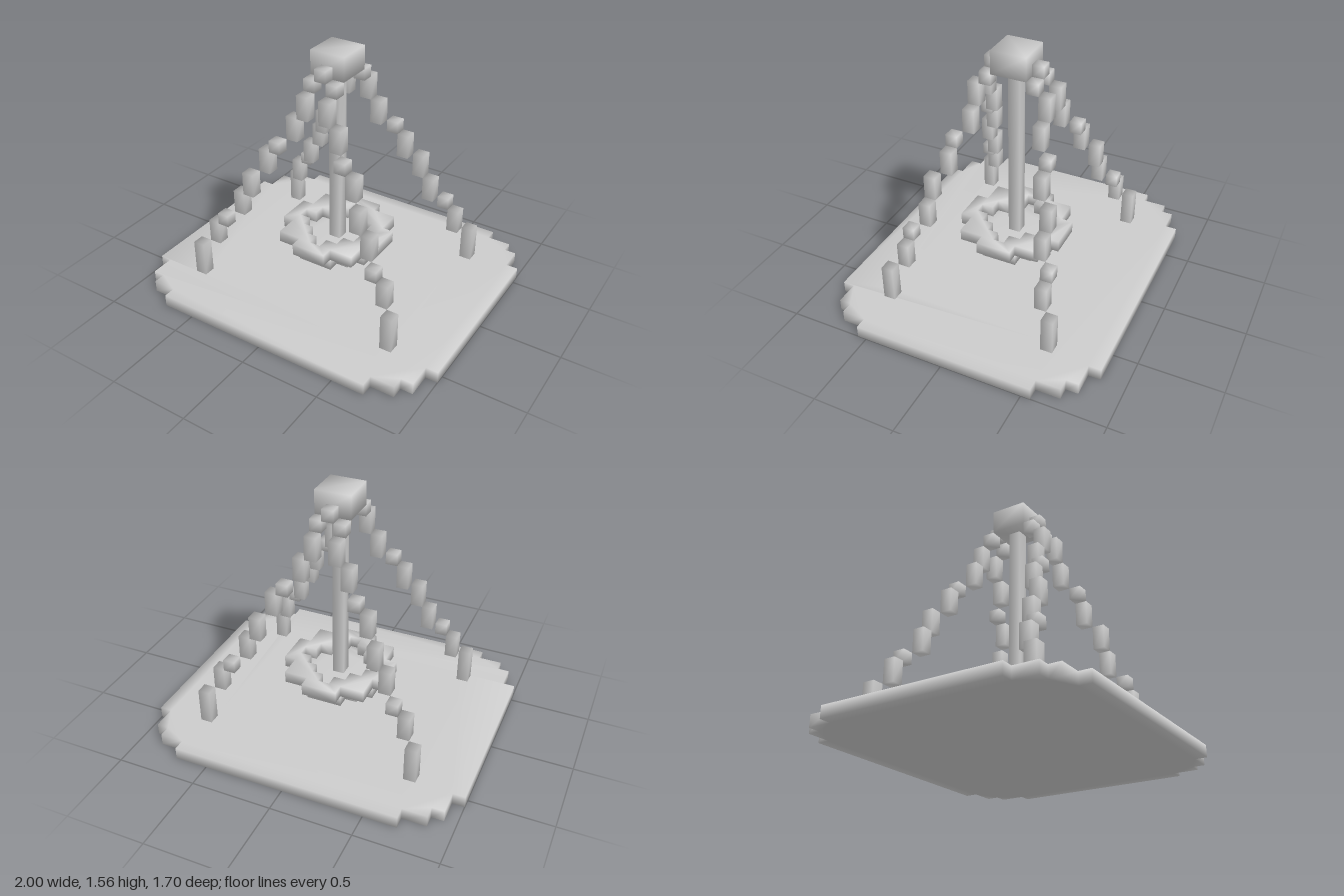
import * as THREE from 'three';
import { mergeGeometries, mergeVertices } from 'three/addons/utils/BufferGeometryUtils.js';

const U = 2 / 27; // one block of the grid
const material = new THREE.MeshStandardMaterial({ color: 0xcccccc });

// Weld the corners so shading flows over the blocky edges
function smooth(...parts) {
  const bare = parts.map((p) => {
    const g = p.index ? p.toNonIndexed() : p;
    g.deleteAttribute('uv');
    g.deleteAttribute('normal');
    return g;
  });
  const g = mergeVertices(mergeGeometries(bare), 1e-4);
  g.computeVertexNormals();
  return g;
}

function add(parent, name, geometry) {
  const mesh = new THREE.Mesh(geometry, material);
  mesh.name = name;
  parent.add(mesh);
  return mesh;
}

// Block from min to max corner, in grid units
function block(parent, name, [x0, x1], [y0, y1], [z0, z1]) {
  const g = new THREE.BoxGeometry(x1 - x0, y1 - y0, z1 - z0);
  g.translate((x0 + x1) / 2, (y0 + y1) / 2, (z0 + z1) / 2);
  return add(parent, name, smooth(g));
}

// Mirror one quadrant of a stepped outline into a full counter-clockwise loop
function outline(quadrant) {
  const back = [...quadrant].reverse();
  return [
    ...quadrant,
    ...back.map(([x, y]) => [-x, y]),
    ...quadrant.map(([x, y]) => [-x, -y]),
    ...back.map(([x, y]) => [x, -y]),
  ].map(([x, y]) => new THREE.Vector2(x, y));
}

// Flat stepped plate, optionally with a hole
function plate(parent, name, quadrant, y, hole) {
  const shape = new THREE.Shape(outline(quadrant));
  if (hole) shape.holes.push(new THREE.Path(outline(hole)));
  const g = new THREE.ExtrudeGeometry(shape, { depth: 1, bevelEnabled: false });
  g.rotateX(-Math.PI / 2).translate(0, y, 0);
  add(parent, name, smooth(g));
}

// Base slab: its top is split into a rim and a central field
function baseGeometry() {
  const loop = outline([[13.5, 7.5], [12.5, 7.5], [12.5, 9.5], [11.5, 9.5], [11.5, 10.5], [9.5, 10.5], [9.5, 11.5]]);
  const field = outline([[8.5, 7.5]]);
  const rimShape = new THREE.Shape(loop);
  rimShape.holes.push(new THREE.Path(field));
  const rim = new THREE.ShapeGeometry(rimShape).translate(0, 0, 1);
  const centre = new THREE.ShapeGeometry(new THREE.Shape(field)).translate(0, 0, 1);
  const bottom = new THREE.ShapeGeometry(new THREE.Shape(loop)).rotateX(Math.PI);
  const corners = [];
  loop.forEach((a, i) => {
    const b = loop[(i + 1) % loop.length];
    corners.push(a.x, a.y, 0, b.x, b.y, 0, b.x, b.y, 1);
    corners.push(a.x, a.y, 0, b.x, b.y, 1, a.x, a.y, 1);
  });
  const walls = new THREE.BufferGeometry();
  walls.setAttribute('position', new THREE.Float32BufferAttribute(corners, 3));
  return smooth(rim, centre, bottom, walls).rotateX(-Math.PI / 2);
}

export function createModel() {
  const model = new THREE.Group();
  model.name = 'hangingDishStand';
  model.scale.setScalar(U);

  add(model, 'base', baseGeometry());

  // Four legs climbing in steps: x centre, z centre, bottom, top
  const steps = [
    [9, 7, 1, 4], [8, 6, 4, 6], [7, 6, 6, 7], [6, 5, 7, 9], [5, 5, 9, 11],
    [4, 4, 11, 13], [3, 4, 13, 14], [2, 3, 14, 16], [1, 3, 16, 18], [1, 2, 18, 19],
  ];
  for (const sx of [1, -1]) {
    for (const sz of [1, -1]) {
      const leg = new THREE.Group();
      leg.name = `${sz > 0 ? 'front' : 'back'}${sx > 0 ? 'Left' : 'Right'}Leg`;
      for (const [x, z, y0, y1] of steps) {
        const cx = x * sx, cz = z * sz;
        block(leg, 'legStep', [cx - 0.5, cx + 0.5], [y0, y1], [cz - 0.5, cz + 0.5]);
      }
      model.add(leg);
    }
  }

  // Top cap with a small bracket front and back
  block(model, 'cap', [-1.5, 1.5], [19, 21], [-1.5, 1.5]);
  block(model, 'frontBracket', [-0.5, 0.5], [19, 20], [1.5, 2.5]);
  block(model, 'backBracket', [-0.5, 0.5], [19, 20], [-2.5, -1.5]);

  // Hanging rod and dish
  block(model, 'rod', [-0.5, 0.5], [4, 19], [-0.5, 0.5]);
  plate(model, 'dishRim', [[4.5, 1.5], [3.5, 1.5], [3.5, 3.5], [1.5, 3.5], [1.5, 4.5]], 4,
    [[3.5, 0.5], [2.5, 0.5], [2.5, 1.5], [1.5, 1.5], [1.5, 2.5], [0.5, 2.5], [0.5, 3.5]]);
  plate(model, 'dishBottom', [[3.5, 1.5], [2.5, 1.5], [2.5, 2.5], [1.5, 2.5], [1.5, 3.5]], 3);

  return model;
}
